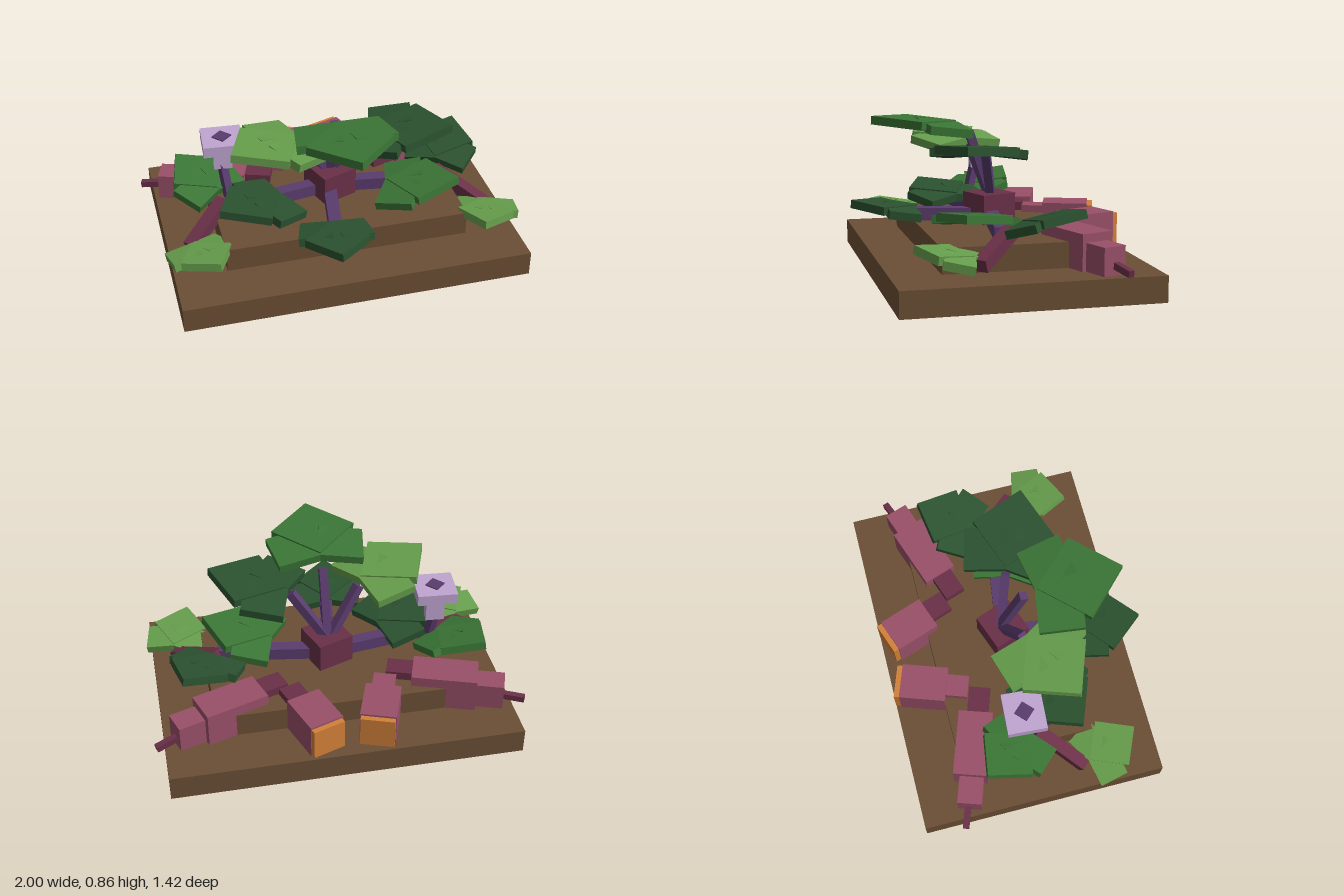
import * as THREE from 'three';

const material = (name, color) => {
  const m = new THREE.MeshStandardMaterial({ color });
  m.name = name;
  return m;
};

export function createModel() {
  const model = new THREE.Group();
  model.name = 'rootVegetablePlant';

  const soil = material('soil brown', 0x6b4f35);
  const lightLeaf = material('light leaf green', 0x669e4c);
  const midLeaf = material('mid leaf green', 0x3b7636);
  const darkLeaf = material('dark leaf green', 0x2b5230);
  const lilac = material('petal lilac', 0xc0a5d0);
  const purple = material('vine purple', 0x5a3c6e);
  const pink = material('tuber pink', 0x995068);
  const maroon = material('root maroon', 0x6a3048);
  const orange = material('flesh orange', 0xd28038);

  const box = (parent, name, mat, [w, h, d], [x, y, z], yaw = 0) => {
    const mesh = new THREE.Mesh(new THREE.BoxGeometry(w, h, d), mat);
    mesh.name = name;
    mesh.position.set(x, y, z);
    mesh.rotation.set(0, yaw, 0, 'YXZ');
    parent.add(mesh);
    return mesh;
  };

  // Square beam running between two points
  const beam = (name, mat, from, to, width) => {
    const a = new THREE.Vector3(...from);
    const b = new THREE.Vector3(...to);
    const mid = a.clone().add(b).multiplyScalar(0.5);
    const mesh = box(model, name, mat, [width, width, a.distanceTo(b)], mid.toArray());
    mesh.lookAt(b);
    return mesh;
  };

  // Heart-shaped leaf: a diamond blade pointing to +z and two drooping lobes
  const leaf = (name, mat, [x, y, z], yawDeg, scale, pitch) => {
    const g = new THREE.Group();
    g.name = name;
    const t = 0.045;
    box(g, 'blade', mat, [0.325 * scale, t, 0.325 * scale], [0, 0, 0], Math.PI / 4);
    for (const s of [-1, 1]) {
      const lobe = box(g, 'lobe', mat, [0.24 * scale, t, 0.24 * scale],
        [s * 0.13 * scale, -0.012 * scale, -0.14 * scale], s * 0.17);
      lobe.rotation.x = -0.06;
      lobe.rotation.z = -s * 0.09;
    }
    g.position.set(x, y, z);
    g.rotation.set(-pitch, THREE.MathUtils.degToRad(yawDeg), 0, 'YXZ');
    model.add(g);
  };

  // Soil bed and raised mound
  box(model, 'soilBed', soil, [1.875, 0.137, 1.335], [0.008, 0.0685, -0.048]);
  box(model, 'mound', soil, [1.32, 0.14, 0.81], [0.008, 0.2, -0.047]);

  // Crown with creeping vines
  box(model, 'crown', maroon, [0.205, 0.16, 0.205], [0.006, 0.35, -0.045], 0.35);
  beam('leftVine', purple, [0, 0.31, -0.05], [0.6, 0.312, 0.04], 0.068);
  beam('rightVine', purple, [0, 0.31, -0.05], [-0.58, 0.308, 0.04], 0.068);
  beam('frontVine', purple, [0, 0.31, -0.05], [-0.07, 0.315, 0.37], 0.068);

  // Upright stems
  beam('centreStem', purple, [0.005, 0.42, -0.05], [0.005, 0.77, 0.07], 0.045);
  beam('leftStem', purple, [0.02, 0.42, -0.05], [0.19, 0.67, 0.02], 0.045);
  beam('rightStem', purple, [-0.02, 0.42, -0.05], [-0.18, 0.67, 0.02], 0.045);

  // Upper leaves
  leaf('topLeaf', midLeaf, [0.005, 0.822, 0.37], 0, 1, 0.07);
  leaf('upperRightLeaf', lightLeaf, [-0.39, 0.718, 0.13], -65, 0.93, 0.1);
  leaf('upperLeftLeaf', darkLeaf, [0.41, 0.71, 0.12], 65, 0.96, 0.1);

  // Low leaves along the vines
  leaf('lowRightLeaf', darkLeaf, [-0.48, 0.385, 0.15], -66, 0.84, 0.12);
  leaf('lowLeftLeaf', midLeaf, [0.48, 0.375, 0.15], 66, 0.86, 0.14);
  leaf('backRightLeaf', midLeaf, [-0.71, 0.4, -0.2], -145, 0.74, 0.22);
  leaf('backLeftLeaf', darkLeaf, [0.72, 0.4, -0.2], 145, 0.74, 0.22);
  leaf('frontLeaf', darkLeaf, [-0.1, 0.355, 0.53], -6, 0.74, 0.1);

  // Sprouts hanging over the mound on both sides
  for (const s of [-1, 1]) {
    beam('sproutStem', maroon, [s * 0.6, 0.325, -0.01], [s * 0.82, 0.205, 0.2], 0.068);
    leaf('sproutLeaf', lightLeaf, [s * 0.765 + 0.008, 0.26, 0.37], -s * 21, 0.65, 0.15);
  }

  // Whole tubers lying to the sides
  for (const s of [-1, 1]) {
    const yaw = s * 0.33;
    box(model, 'tuberNeck', maroon, [0.16, 0.11, 0.115], [s * 0.36, 0.262, -0.275], yaw);
    box(model, 'tuberBody', pink, [0.35, 0.19, 0.185], [s * 0.58, 0.232, -0.36], yaw);
    box(model, 'tuberEnd', pink, [0.16, 0.145, 0.13], [s * 0.81, 0.21, -0.432], yaw);
    beam('tuberRoot', maroon, [s * 0.85, 0.193, -0.455],
      [s * 0.99, s > 0 ? 0.165 : 0.178, -0.505], 0.034);
  }

  // Cut tubers at the back with exposed flesh
  for (const s of [-1, 1]) {
    const yaw = s * 0.34;
    const neckMat = s > 0 ? maroon : pink;
    box(model, 'cutTuberNeck', neckMat, [0.12, 0.12, 0.16], [s * 0.235, 0.25, -0.385], yaw);
    box(model, 'cutTuberBody', pink, [0.19, 0.19, 0.25], [s * 0.175 - 0.01, 0.235, -0.54], yaw);
    box(model, 'cutFlesh', orange, [0.18, 0.17, 0.03], [s * 0.13 - 0.01, 0.235, -0.672], yaw);
  }

  // Blossom on its stalk
  beam('blossomStalk', purple, [-0.56, 0.32, -0.05], [-0.58, 0.51, -0.1], 0.042);
  box(model, 'blossomTube', lilac, [0.1, 0.145, 0.055], [-0.577, 0.562, -0.1], -0.07);
  box(model, 'blossomCap', lilac, [0.215, 0.06, 0.205], [-0.577, 0.66, -0.08], -0.07);
  box(model, 'blossomHeart', purple, [0.075, 0.012, 0.075], [-0.578, 0.69, -0.08], 0.75);

  return model;
}
